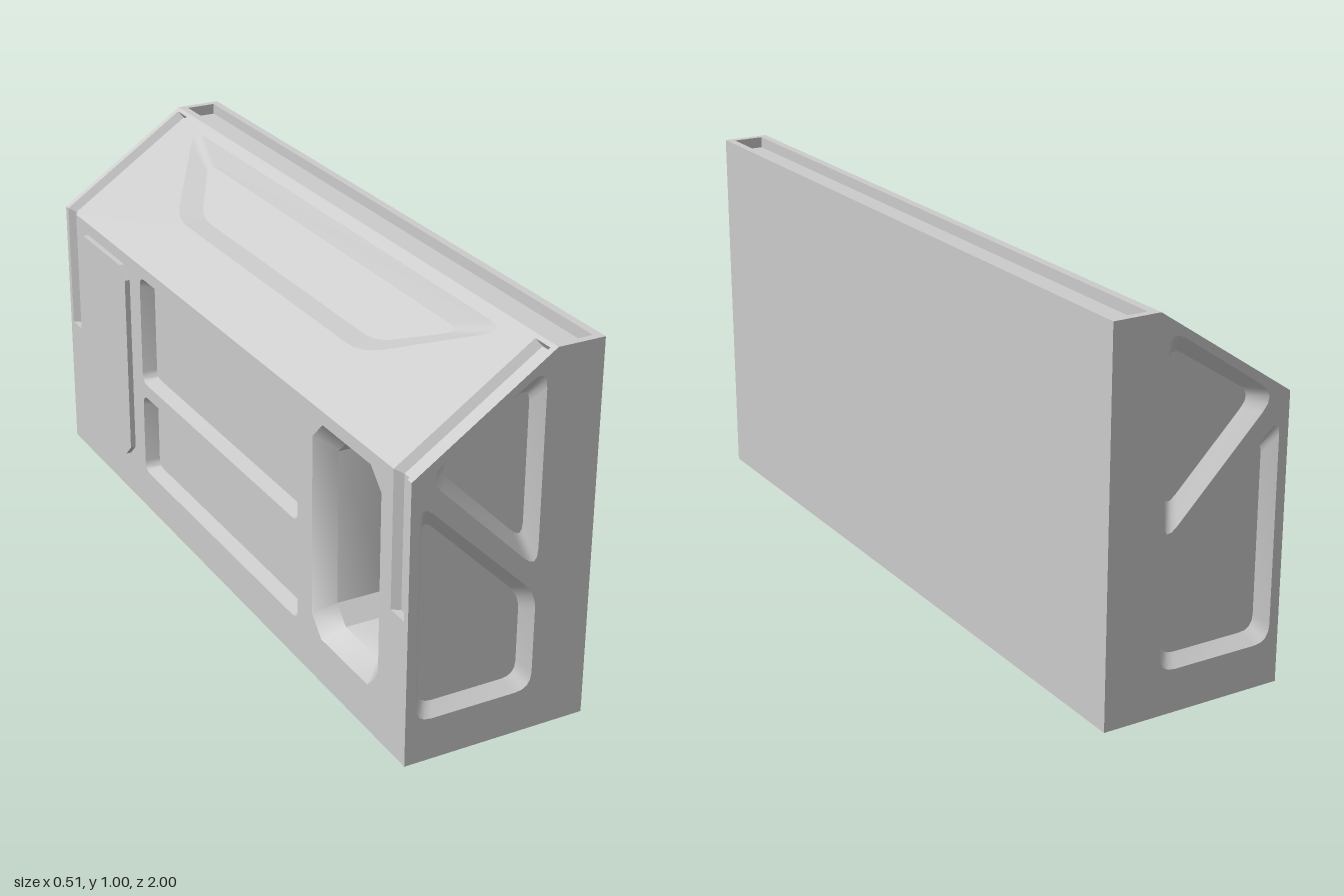
import * as THREE from 'three';
import { toCreasedNormals } from 'three/addons/utils/BufferGeometryUtils.js';

const X0 = -0.243, X1 = 0.257, EAVE = 0.75, RIDGE = 0.13;
const RUN = RIDGE - X0, RISE = 1 - EAVE, LEN = Math.hypot(RUN, RISE);
const Z1 = 0.922, Z2 = 0.982;            // groove sides
const G_TOP = 0.12, G_LOW = 0.387;       // groove ends: x on the slope, y on the wall
const G_DEPTH = 0.02, G_BEVEL = 0.014;

const material = new THREE.MeshStandardMaterial({ color: 0xcccccc });
const openMaterial = new THREE.MeshStandardMaterial({ color: 0xcccccc, side: THREE.DoubleSide });
const V3 = (x, y, z) => new THREE.Vector3(x, y, z);
const V2 = (p) => new THREE.Vector2(p[0], p[1]);

function addMesh(parent, name, geometry, mat = material) {
  const mesh = new THREE.Mesh(geometry, mat);
  mesh.name = name;
  parent.add(mesh);
}

function fromTriangles(points) {
  const g = new THREE.BufferGeometry().setFromPoints(points);
  g.computeVertexNormals();
  return g;
}

// Cuts every corner of a polygon with a short curve (one segment = chamfer)
function rounded(corners, r, segments = 4) {
  const out = [];
  corners.forEach((c, i) => {
    const n = corners.length, p = V2(c);
    const toward = (q) => p.clone().add(V2(q).sub(p).setLength(r));
    const curve = new THREE.QuadraticBezierCurve(
      toward(corners[(i + n - 1) % n]), p, toward(corners[(i + 1) % n]));
    curve.getPoints(segments).forEach((q) => out.push([q.x, q.y]));
  });
  return out;
}

const rect = (u0, v0, u1, v1) => [[u0, v0], [u1, v0], [u1, v1], [u0, v1]];
const mirrorU = (pts) => pts.map(([u, v]) => [-u, v]).reverse();

// A relief is a list of matching counter-clockwise loops, each at its own height
function relief(name, ...loops) {
  return { name, loops: loops.map(([pts, w]) => ({ pts, w })) };
}

// A flat face with sunk or raised reliefs, placed by origin and u, v axes
function addFace(parent, name, origin, u, v, outline, reliefs = []) {
  const group = new THREE.Group();
  group.name = name;
  const w = u.clone().cross(v);
  group.applyMatrix4(new THREE.Matrix4().makeBasis(u, v, w).setPosition(origin));
  const shape = new THREE.Shape(outline.map(V2));
  reliefs.forEach((r) => shape.holes.push(new THREE.Path(r.loops[0].pts.map(V2))));
  addMesh(group, name + 'Plate', new THREE.ShapeGeometry(shape));

  reliefs.forEach(({ name: part, loops }) => {
    const tris = [];
    for (let k = 0; k + 1 < loops.length; k++) {
      const a = loops[k], b = loops[k + 1], n = a.pts.length;
      for (let i = 0; i < n; i++) {
        const j = (i + 1) % n;
        const p = V3(...a.pts[i], a.w), q = V3(...a.pts[j], a.w);
        const s = V3(...b.pts[i], b.w), t = V3(...b.pts[j], b.w);
        tris.push(p, q, t, p, t, s);
      }
    }
    addMesh(group, part + 'Walls', toCreasedNormals(fromTriangles(tris), 0.7));
    const last = loops[loops.length - 1];
    const floor = new THREE.ShapeGeometry(new THREE.Shape(last.pts.map(V2)));
    addMesh(group, part + 'Floor', floor.translate(0, 0, last.w));
  });
  parent.add(group);
}

// Bevelled groove running down the slope and on down the wall
function grooveGeometry(sign) {
  const slopeY = (x) => EAVE + (x - X0) * RISE / RUN;
  const inX = X0 + G_DEPTH;
  const stations = [
    [[G_TOP, slopeY(G_TOP)],
      [G_TOP + G_DEPTH * RISE / LEN, slopeY(G_TOP) - G_DEPTH * RUN / LEN]],
    [[X0, EAVE], [inX, slopeY(inX) - G_DEPTH * LEN / RUN]],
    [[X0, G_LOW], [inX, G_LOW]],
  ].map(([o, i]) => [
    V3(...o, sign * Z1), V3(...i, sign * (Z1 + G_BEVEL)),
    V3(...i, sign * (Z2 - G_BEVEL)), V3(...o, sign * Z2),
  ]);
  const tris = [];
  const quad = (a, b, c, d) => tris.push(a, b, c, a, c, d);
  for (let k = 0; k < 2; k++) {
    for (let i = 0; i < 3; i++) {
      quad(stations[k][i], stations[k][i + 1], stations[k + 1][i + 1], stations[k + 1][i]);
    }
  }
  quad(...stations[0]);
  quad(...stations[2]);
  return fromTriangles(tris);
}

export function createModel() {
  const model = new THREE.Group();
  model.name = 'barrier';
  const X = V3(1, 0, 0), Y = V3(0, 1, 0), Z = V3(0, 0, 1);

  // End faces with a triangular and a four-sided recess
  const profile = [[X0, 0], [X1, 0], [X1, 1], [RIDGE, 1], [X0, EAVE]];
  const lowOuter = rounded([[-0.217, 0.113], [0.105, 0.113], [0.105, 0.375], [-0.217, 0.69]], 0.045);
  const lowInner = rounded([[-0.193, 0.138], [0.081, 0.138], [0.081, 0.36], [-0.193, 0.632]], 0.04);
  const triOuter = rounded([[-0.204, 0.749], [0.105, 0.44], [0.105, 0.959]], 0.055);
  const triInner = rounded([[-0.159, 0.749], [0.082, 0.508], [0.082, 0.905]], 0.045);
  for (const sign of [1, -1]) {
    const side = (pts) => (sign > 0 ? pts : mirrorU(pts));
    addFace(model, sign > 0 ? 'frontEnd' : 'backEnd', V3(0, 0, sign),
      X.clone().multiplyScalar(sign), Y, side(profile), [
        relief('lowerEndRecess', [side(lowOuter), 0], [side(lowInner), -0.035]),
        relief('upperEndRecess', [side(triOuter), 0], [side(triInner), -0.035]),
      ]);
  }

  // Detailed long wall: raised panel, two wide recesses, one deep pocket
  const wall = [[-1, 0], [1, 0], [1, EAVE],
    [Z2, EAVE], [Z2, G_LOW], [Z1, G_LOW], [Z1, EAVE],
    [-Z1, EAVE], [-Z1, G_LOW], [-Z2, G_LOW], [-Z2, EAVE], [-1, EAVE]];
  const panel = rounded(rect(-0.87, 0.125, -0.54, 0.715), 0.035, 1);
  const wide = (name, v0, v1) => relief(name,
    [rounded(rect(-0.47, v0, 0.465, v1), 0.03), 0],
    [rounded(rect(-0.46, v0 + 0.01, 0.455, v1 - 0.01), 0.025), -0.04]);
  const pocketOuter = rounded(rect(0.54, 0.125, 0.87, 0.715), 0.05, 1);
  const pocketInner = rounded(rect(0.58, 0.165, 0.83, 0.675), 0.045, 1);
  addFace(model, 'panelWall', V3(X0, 0, 0), Z, Y, wall, [
    relief('raisedPanel', [panel, 0], [panel, 0.015]),
    wide('upperWideRecess', 0.395, 0.715),
    wide('lowerWideRecess', 0.115, 0.355),
    relief('deepPocket', [pocketOuter, 0], [pocketInner, -0.05], [pocketInner, -0.2]),
  ]);

  // Sloping shoulder with a long bevelled recess
  const gv = (G_TOP - X0) * LEN / RUN;
  const slope = [[-1, 0], [-Z2, 0], [-Z2, gv], [-Z1, gv], [-Z1, 0],
    [Z1, 0], [Z1, gv], [Z2, gv], [Z2, 0], [1, 0], [1, LEN], [-1, LEN]];
  addFace(model, 'slope', V3(X0, EAVE, 0), Z, V3(RUN / LEN, RISE / LEN, 0), slope, [
    relief('slopeRecess',
      [rounded([[-0.52, 0.169], [0.52, 0.169], [0.835, 0.416], [-0.835, 0.416]], 0.07), 0],
      [rounded([[-0.485, 0.221], [0.485, 0.221], [0.685, 0.364], [-0.685, 0.364]], 0.055), -0.03]),
  ]);
  addMesh(model, 'frontGroove', grooveGeometry(1), openMaterial);
  addMesh(model, 'backGroove', grooveGeometry(-1), openMaterial);

  // Narrow top with a full-length trough
  const trough = rect(-0.98, 0.152, 0.98, 0.236);
  addFace(model, 'top', V3(0, 1, 0), Z, X, rect(-1, RIDGE, 1, X1),
    [relief('topTrough', [trough, 0], [trough, -0.03])]);

  // Plain long wall and base
  addFace(model, 'plainWall', V3(X1, 0, 0), V3(0, 0, -1), Y, rect(-1, 0, 1, 1));
  addFace(model, 'base', V3(0, 0, 0), Z, V3(-1, 0, 0), rect(-1, -X1, 1, -X0));
  return model;
}
